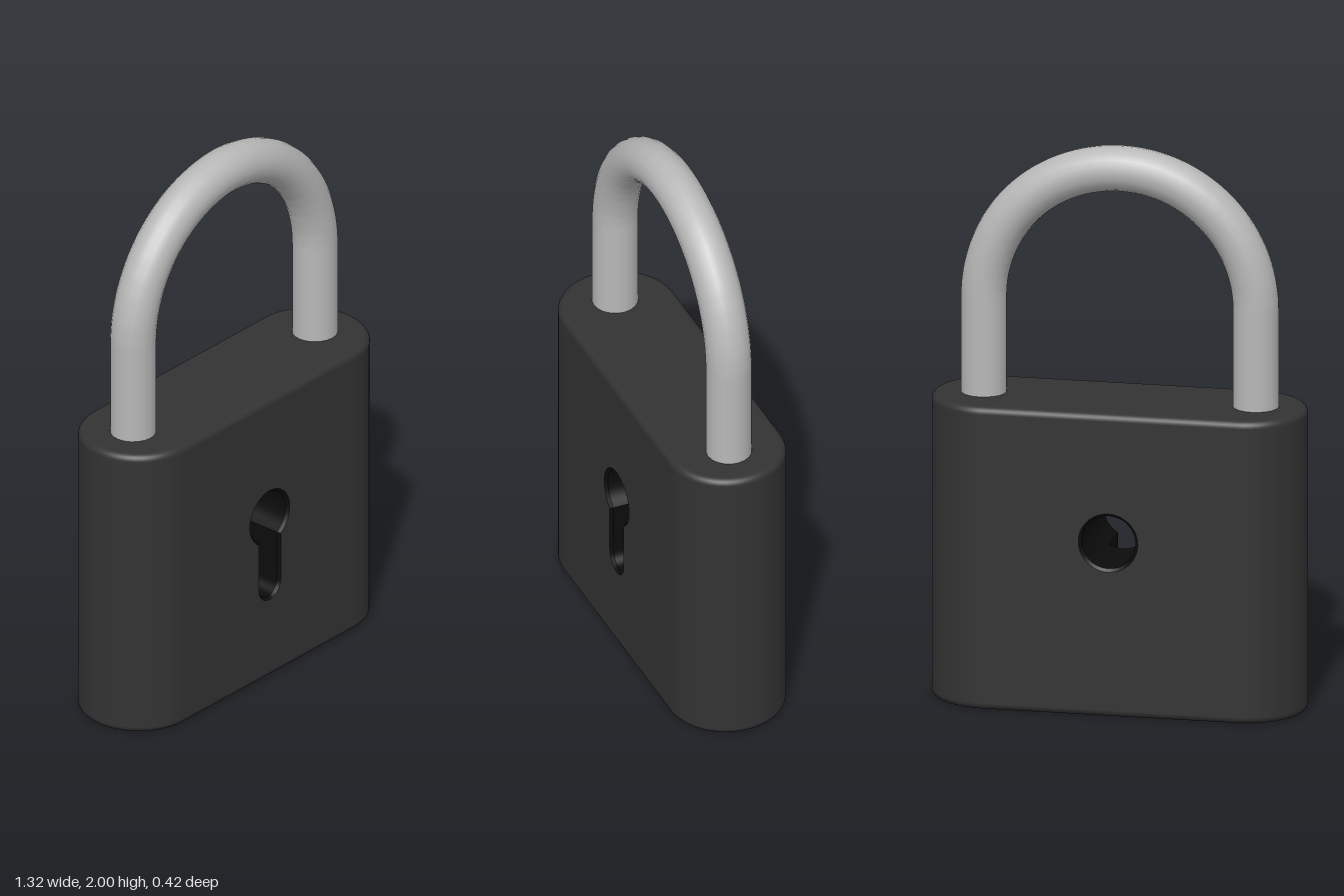
import * as THREE from 'three';
import { toCreasedNormals } from 'three/addons/utils/BufferGeometryUtils.js';

const H = 1.09, R = 0.21, CX = 0.45, BEVEL = 0.025;       // body
const HOLE_R = 0.095, HOLE_Y = 0.628, SLOT_W = 0.048, SLOT_Y = 0.362; // keyhole
const FLOOR_Z = 0.05, LIP = 0.01;

// Points along an arc in the XY plane
function arc(cx, cy, r, a0, a1, n) {
  return Array.from({ length: n + 1 }, (_, i) => {
    const a = a0 + (a1 - a0) * i / n;
    return new THREE.Vector2(cx + r * Math.cos(a), cy + r * Math.sin(a));
  });
}

const circleOutline = o => arc(0, HOLE_Y, HOLE_R + o, 0, Math.PI * 2, 40).slice(0, -1);

function keyholeOutline(o) {
  const r = HOLE_R + o, w = SLOT_W + o, a = Math.asin(w / r);
  return [
    ...arc(0, HOLE_Y, r, -Math.PI / 2 + a, Math.PI * 1.5 - a, 36),
    ...arc(0, SLOT_Y, w, Math.PI, Math.PI * 2, 16),
  ];
}

// Rounded shell with a stadium plan; the flat front and back are left open for the panels
function shellGeometry() {
  const N = 24, plan = [], rings = [], pos = [], nor = [], idx = [];
  for (const [cx, start] of [[CX, Math.PI / 2], [-CX, -Math.PI / 2]])
    for (let i = 0; i <= N; i++) plan.push([cx, start - Math.PI * i / N]);
  for (let i = 0; i <= 6; i++) rings.push([BEVEL, -Math.PI / 2 + Math.PI / 2 * i / 6]);
  for (let i = 0; i <= 6; i++) rings.push([H - BEVEL, Math.PI / 2 * i / 6]);
  for (const [y, phi] of rings)
    for (const [cx, t] of plan) {
      const r = R - BEVEL + BEVEL * Math.cos(phi);
      pos.push(cx + r * Math.cos(t), y + BEVEL * Math.sin(phi), r * Math.sin(t));
      nor.push(Math.cos(phi) * Math.cos(t), Math.sin(phi), Math.cos(phi) * Math.sin(t));
    }
  const P = plan.length, last = (rings.length - 1) * P;
  for (let i = 0; i < rings.length - 1; i++)
    for (let j = 0; j < P; j++) {
      if (i === 6 && (j === N || j === P - 1)) continue; // panel openings
      const k = (j + 1) % P, a = i * P + j, b = i * P + k;
      idx.push(a, b, b + P, a, b + P, a + P);
    }
  // Top and bottom lids
  for (let j = 1; j < P - 1; j++) idx.push(last, last + j, last + j + 1, 0, j + 1, j);
  const g = new THREE.BufferGeometry();
  g.setAttribute('position', new THREE.Float32BufferAttribute(pos, 3));
  g.setAttribute('normal', new THREE.Float32BufferAttribute(nor, 3));
  g.setIndex(idx);
  return g;
}

// Flat panel with a hole cut through it
function panelGeometry(outline) {
  const s = new THREE.Shape([[-CX, BEVEL], [CX, BEVEL], [CX, H - BEVEL], [-CX, H - BEVEL]]
    .map(p => new THREE.Vector2(...p)));
  s.holes.push(new THREE.Path(outline.slice().reverse()));
  return new THREE.ShapeGeometry(s);
}

// Inward-facing wall through a list of [outline, z], front to back
function liningGeometry(sections) {
  const n = sections[0][0].length, idx = [];
  const pos = sections.flatMap(([pts, z]) => pts.flatMap(p => [p.x, p.y, z]));
  for (let i = 0; i < sections.length - 1; i++)
    for (let j = 0; j < n; j++) {
      const a = i * n + j, b = i * n + (j + 1) % n;
      idx.push(a, b, b + n, a, b + n, a + n);
    }
  const g = new THREE.BufferGeometry();
  g.setAttribute('position', new THREE.Float32BufferAttribute(pos, 3));
  g.setIndex(idx);
  return toCreasedNormals(g, 0.6);
}

// U-shaped centre line of the shackle
function shacklePath() {
  const r = 0.48, top = 1.44, foot = 1.0, path = new THREE.CurvePath();
  const v = (x, y) => new THREE.Vector3(x, y, 0);
  const bend = arc(0, top, r, Math.PI, 0, 48).map(p => v(p.x, p.y));
  const points = [v(-r, foot), v(-r, 1.2), ...bend, v(r, 1.2), v(r, foot)];
  for (let i = 1; i < points.length; i++) path.add(new THREE.LineCurve3(points[i - 1], points[i]));
  return path;
}

export function createModel() {
  const mat = (name, color, side = THREE.FrontSide) => {
    const m = new THREE.MeshStandardMaterial({ color, side });
    m.name = name;
    return m;
  };
  const bodyMat = mat('charcoal', 0x333333);
  const steelMat = mat('steel', 0xb8b8b8);
  const holeMat = mat('black', 0x0c0c0c, THREE.DoubleSide);

  const model = new THREE.Group();
  model.name = 'padlock';
  const add = (name, geometry, material, z = 0) => {
    const mesh = new THREE.Mesh(geometry, material);
    mesh.name = name;
    mesh.position.z = z;
    model.add(mesh);
    return mesh;
  };

  // Body
  add('bodyShell', shellGeometry(), bodyMat);
  add('frontPanel', panelGeometry(keyholeOutline(LIP)), bodyMat, R);
  add('backPanel', panelGeometry(circleOutline(LIP)), bodyMat, -R).rotation.y = Math.PI;

  // Keyhole: a round hole right through and a slot that stops partway
  add('keyholeLining', liningGeometry([
    [keyholeOutline(LIP), R], [keyholeOutline(0), R - LIP], [keyholeOutline(0), FLOOR_Z],
  ]), holeMat);
  add('throughHoleLining', liningGeometry([
    [circleOutline(0), FLOOR_Z], [circleOutline(0), LIP - R], [circleOutline(LIP), -R],
  ]), holeMat);
  const a = Math.asin(SLOT_W / HOLE_R);
  add('slotFloor', new THREE.ShapeGeometry(new THREE.Shape([
    ...arc(0, SLOT_Y, SLOT_W, Math.PI, Math.PI * 2, 16),
    ...arc(0, HOLE_Y, HOLE_R, -Math.PI / 2 + a, -Math.PI / 2 - a, 8),
  ])), holeMat, FLOOR_Z);

  // Shackle
  add('shackle', new THREE.TubeGeometry(shacklePath(), 120, 0.08, 20, false), steelMat);
  return model;
}
